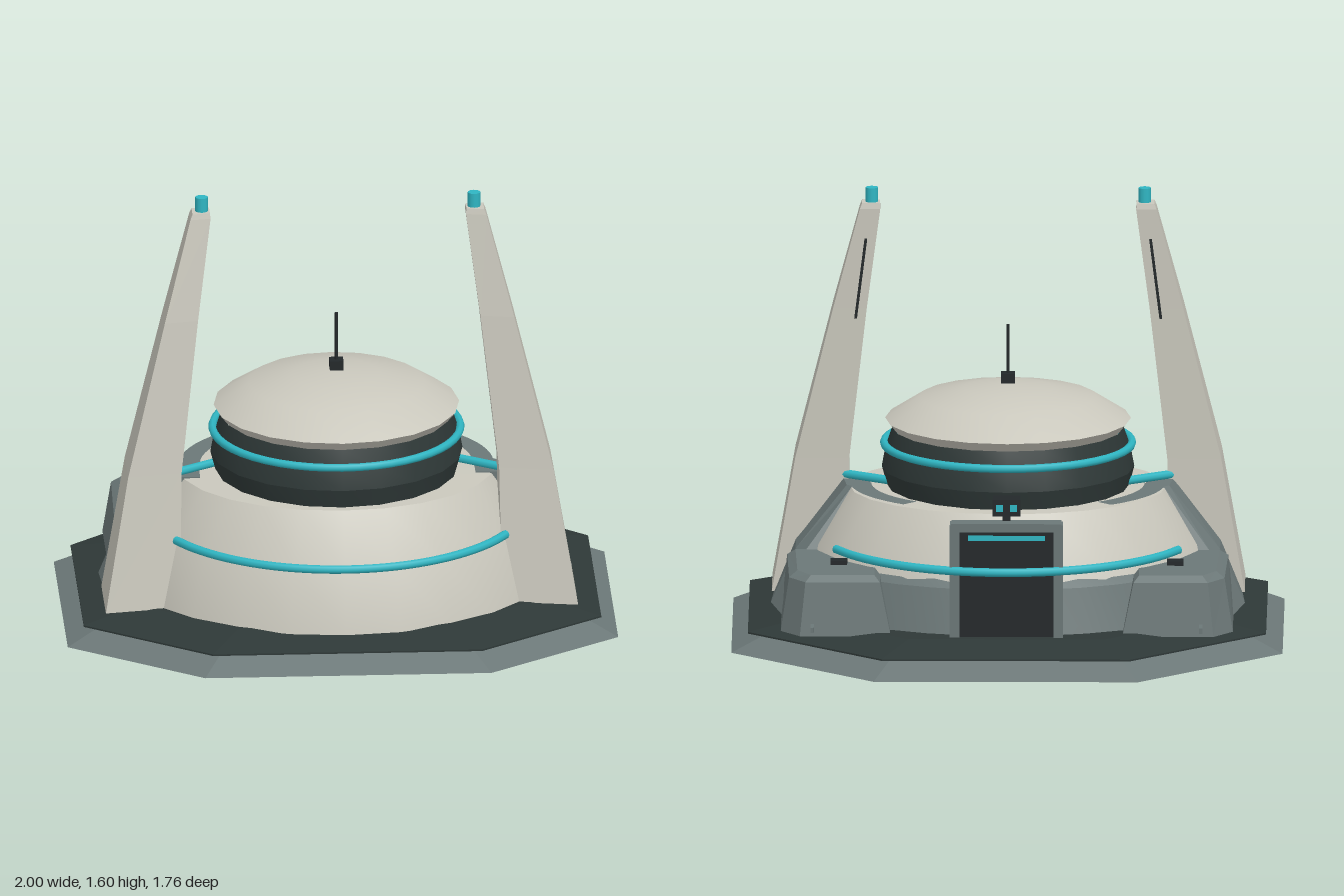
import * as THREE from 'three';
import { toCreasedNormals } from 'three/addons/utils/BufferGeometryUtils.js';

const mat = (name, color, extra = {}) => Object.assign(new THREE.MeshStandardMaterial({ color, ...extra }), { name });

export function createModel() {
  const root = new THREE.Group();
  root.name = 'station';
  const shell = mat('pale shell', 0xc9c7bc);
  const gray = mat('slate gray', 0x6b7777);
  const dark = mat('dark slate', 0x2e3837);
  const black = mat('black metal', 0x23282a);
  const teal = mat('teal light', 0x2fb5c2);

  const add = (name, geo, m, x = 0, y = 0, z = 0) => {
    const mesh = new THREE.Mesh(geo, m);
    mesh.name = name;
    mesh.position.set(x, y, z);
    root.add(mesh);
    return mesh;
  };
  const box = (name, m, w, h, d, x, y, z) => add(name, new THREE.BoxGeometry(w, h, d), m, x, y, z);

  // Flat-faced skin over rings of [x, y, z], bottom to top, counter-clockwise from above
  const loft = (rings, mirror = false) => {
    if (mirror) rings = rings.map(r => r.map(([x, y, z]) => [-x, y, z]).reverse());
    const out = [];
    const n = rings[0].length;
    for (let k = 0; k + 1 < rings.length; k++) {
      for (let i = 0; i < n; i++) {
        const j = (i + 1) % n, a = rings[k], b = rings[k + 1];
        out.push(a[i], a[j], b[j], a[i], b[j], b[i]);
      }
    }
    const lo = rings[0], hi = rings[rings.length - 1];
    for (let i = 1; i + 1 < n; i++) out.push(lo[0], lo[i + 1], lo[i], hi[0], hi[i], hi[i + 1]);
    const g = new THREE.BufferGeometry();
    g.setAttribute('position', new THREE.Float32BufferAttribute(out.flat(), 3));
    g.computeVertexNormals();
    return g;
  };
  const lathe = (pts, seg, crease, start = 0, arc = Math.PI * 2) => toCreasedNormals(
    new THREE.LatheGeometry(pts.map(p => new THREE.Vector2(...p)), seg, start, arc), crease);

  // Octagonal footing and deck
  const octagon = [[-1, 0.52], [-0.52, 0.88], [0.52, 0.88], [1, 0.52], [1, -0.4], [0.48, -0.88], [-0.48, -0.88], [-1, -0.4]];
  const oct = (s, y) => octagon.map(([x, z]) => [x * s, y, z * s]);
  add('footing', loft([oct(1, 0), oct(0.85, 0.07)]), gray);
  add('deck', loft([oct(0.94, 0.066), oct(0.94, 0.072), oct(0.74, 0.108)]), dark);

  // Oval main hall with gray rear skirt and roof panels
  const hall = add('hall', lathe([[0.655, 0.1], [0.6, 0.33], [0.487, 0.52], [0.3, 0.525]], 24, 0.5), shell, 0, 0, 0.07);
  hall.scale.x = 1.18;
  const skirt = add('rearSkirt', lathe([[0.672, 0.1], [0.63, 0.27], [0.6, 0.3]], 8, 0.5, Math.PI - 0.75, 1.5), gray, 0, 0, 0.07);
  skirt.scale.x = 1.18;

  // Drum, its light ring and the roof
  const cz = 0.085;
  add('drum', lathe([[0.3, 0.515], [0.44, 0.52], [0.458, 0.59], [0.445, 0.66], [0.42, 0.735]], 20, 0.4), dark, 0, 0, cz);
  add('roof', lathe([[0.38, 0.725], [0.415, 0.73], [0.446, 0.768], [0.32, 0.848], [0.16, 0.88], [0, 0.897]], 20, 0.5), shell, 0, 0, cz);
  add('drumRing', new THREE.TorusGeometry(0.45, 0.015, 8, 48).rotateX(Math.PI / 2), teal, 0, 0.677, cz);
  box('antennaFoot', black, 0.05, 0.035, 0.05, 0, 0.918, cz);
  add('antennaRod', new THREE.CylinderGeometry(0.006, 0.006, 0.21, 8), black, 0, 1.01, cz);

  // Light arcs standing clear of the hall, front and rear
  const arcTube = (name, from, to) => {
    const pts = [];
    for (let i = 0; i <= 16; i++) {
      const a = from + (to - from) * i / 16;
      pts.push(new THREE.Vector3(0.69 * Math.sin(a), 0.355, 0.04 + 0.69 * Math.cos(a)));
    }
    add(name, new THREE.TubeGeometry(new THREE.CatmullRomCurve3(pts), 48, 0.016, 8), teal);
  };
  arcTube('frontArc', -1.05, 1.05);
  arcTube('rearArc', Math.PI - 1.12, Math.PI + 1.12);

  // Pylon sections: y, inner x, outer x, back z, front z
  const pylon = [
    [0.105, 0.585, 0.858, 0.16, 0.458], [0.6, 0.577, 0.773, 0.157, 0.385],
    [1.16, 0.513, 0.635, 0.15, 0.298], [1.53, 0.464, 0.538, 0.142, 0.224], [1.55, 0.466, 0.53, 0.146, 0.218],
  ].map(([y, xi, xo, zb, zf]) => [[xi, y, zf - (zf - zb) * 0.16], [xo, y, zf], [xo, y, zb], [xi, y, zb]]);
  const flat = (y, pts) => pts.map(([x, z]) => [x, y, z]);

  for (const s of [1, -1]) {
    const side = s > 0 ? 'left' : 'right';
    const m = s < 0;
    add(side + 'Pylon', loft(pylon, m), shell);
    add(side + 'Beacon', new THREE.CylinderGeometry(0.023, 0.023, 0.06, 12), teal, s * 0.495, 1.573, 0.178);

    // Narrow slot on the rear face of the pylon
    const slot = box(side + 'PylonSlot', black, 0.01, 0.3, 0.006, s * 0.535, 1.27, 0.147);
    slot.rotation.set(-0.02, 0, s * 0.125);

    // Light strut from pylon to drum
    const strut = new THREE.LineCurve3(new THREE.Vector3(s * 0.6, 0.54, 0.175), new THREE.Vector3(s * 0.43, 0.54, 0.06));
    add(side + 'Strut', new THREE.TubeGeometry(strut, 1, 0.016, 8), teal);

    // Buttress behind the pylon
    add(side + 'Buttress', loft([
      flat(0.1, [[0.6, 0.18], [0.85, 0.18], [0.86, 0], [0.82, -0.2], [0.6, -0.2]]),
      flat(0.3, [[0.58, 0.18], [0.77, 0.18], [0.77, 0], [0.74, -0.08], [0.58, -0.08]]),
      flat(0.525, [[0.5, 0.18], [0.6, 0.18], [0.585, 0.05], [0.565, 0.03], [0.5, 0.03]]),
    ], m), gray);

    // Rear side pod with hatch and rod
    add(side + 'Pod', loft([
      flat(0.095, [[0.42, -0.02], [0.82, -0.02], [0.82, -0.46], [0.75, -0.55], [0.42, -0.55]]),
      flat(0.29, [[0.46, -0.05], [0.8, -0.05], [0.79, -0.44], [0.73, -0.525], [0.46, -0.525]]),
      flat(0.312, [[0.48, -0.07], [0.77, -0.07], [0.76, -0.42], [0.71, -0.5], [0.48, -0.5]]),
    ], m), gray);
    box(side + 'PodHatch', black, 0.06, 0.02, 0.05, s * 0.61, 0.318, -0.31);
    box(side + 'PodRod', gray, 0.012, 0.02, 0.09, s * 0.705, 0.13, -0.565);

    // Gray panel on the hall roof beside the drum
    const panel = add(side + 'RoofPanel', new THREE.RingGeometry(0.42, 0.484, 10, 1, s > 0 ? 0 : Math.PI - 0.85, 0.85)
      .rotateX(-Math.PI / 2), gray, 0, 0.529, 0.07);
    panel.scale.x = 1.18;
  }

  // Rear doorway panel with frame, light strip and sensor
  box('doorBlock', gray, 0.4, 0.43, 0.05, 0, 0.31, -0.58);
  for (const s of [1, -1]) box(s > 0 ? 'leftDoorPost' : 'rightDoorPost', gray, 0.035, 0.43, 0.07, s * 0.188, 0.31, -0.59);
  box('doorLintel', gray, 0.4, 0.03, 0.07, 0, 0.515, -0.59);
  box('doorLeaf', black, 0.34, 0.39, 0.008, 0, 0.3, -0.608);
  box('doorLight', teal, 0.28, 0.018, 0.008, 0, 0.475, -0.614);
  box('sensor', black, 0.1, 0.06, 0.08, 0, 0.577, -0.53);
  box('sensorStem', black, 0.03, 0.04, 0.03, 0, 0.54, -0.56);
  for (const x of [-0.025, 0.025]) box('sensorLens', teal, 0.025, 0.025, 0.008, x, 0.577, -0.572);

  return root;
}
